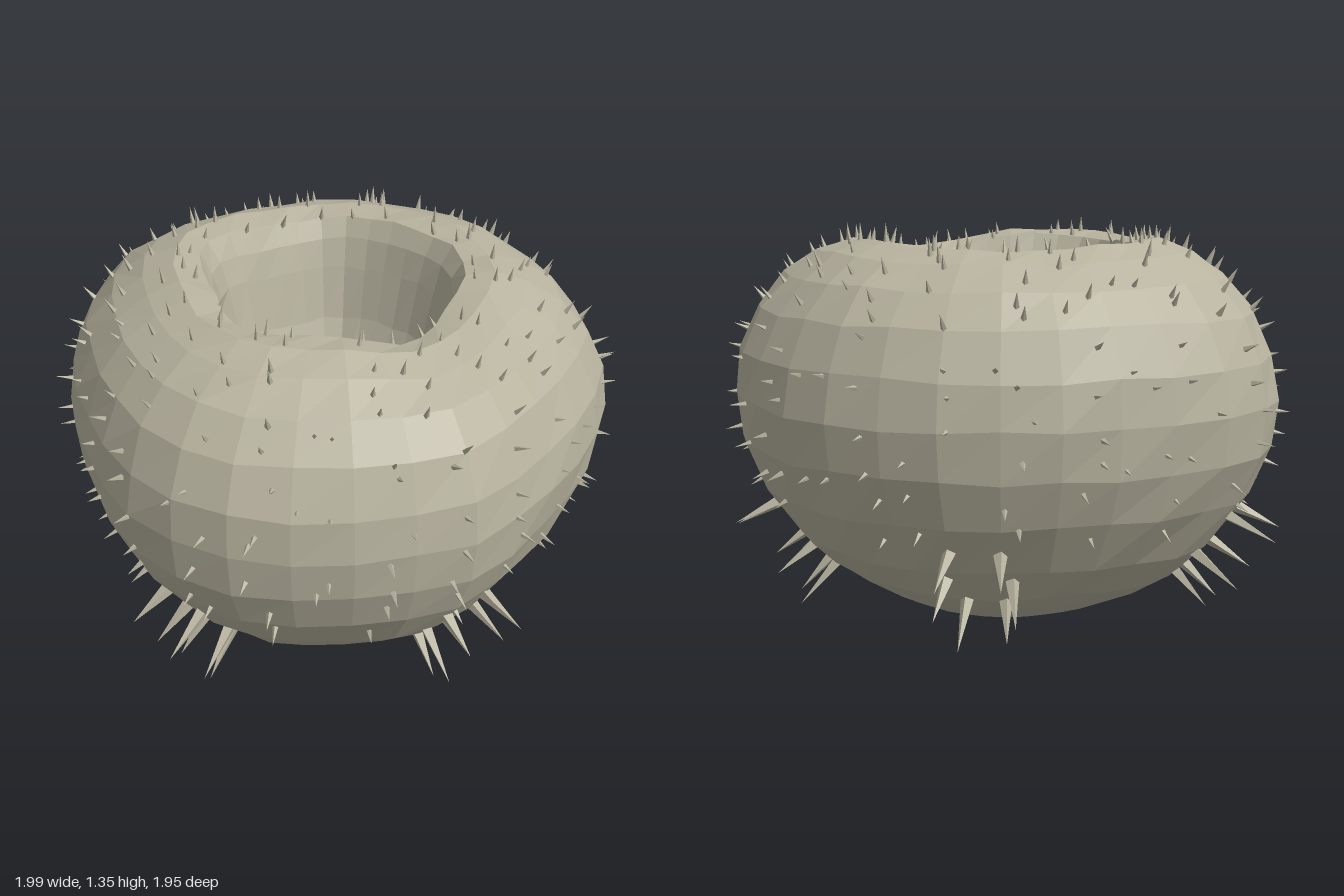
import * as THREE from 'three';
import { mergeGeometries } from 'three/addons/utils/BufferGeometryUtils.js';

const COLUMNS = 30;
const RAD = Math.PI / 180;

// shell cross-section from base centre, up the outside, over the lip and into the hollow: [radius, height]
const PROFILE = [
  [0, 0], [0.36, 0], [0.51, 0.07], [0.66, 0.15], [0.79, 0.27], [0.91, 0.44], [0.98, 0.6], [1, 0.76],
  [0.98, 0.91], [0.91, 1.06], [0.81, 1.17], [0.69, 1.245], [0.57, 1.285], [0.47, 1.27], [0.43, 1.2],
  [0.4, 1.1], [0.355, 0.91], [0.27, 0.7], [0.15, 0.59], [0, 0.56],
];
const LAST = PROFILE.length - 1;

// outline radius every 15 degrees, from +x towards +z
const OUTLINE = [0.97, 0.935, 0.9, 0.915, 0.955, 0.935, 0.94, 0.96, 0.955, 0.935, 0.9, 0.895,
  0.93, 0.97, 0.99, 0.92, 0.91, 0.91, 0.92, 0.92, 0.935, 0.935, 0.945, 0.96];

function random(seed) {
  let s = seed;
  return () => {
    s = (s * 16807) % 2147483647;
    return s / 2147483647;
  };
}

function outline(deg) {
  const f = (((deg % 360) + 360) % 360) / 15;
  const i = Math.floor(f);
  return THREE.MathUtils.lerp(OUTLINE[i % 24], OUTLINE[(i + 1) % 24], f - i);
}

// point of the shell at an angle and a (fractional) profile index
function shellPoint(deg, row) {
  const i = Math.min(Math.floor(row), LAST - 1);
  let r = THREE.MathUtils.lerp(PROFILE[i][0], PROFILE[i + 1][0], row - i) * outline(deg);
  let y = THREE.MathUtils.lerp(PROFILE[i][1], PROFILE[i + 1][1], row - i);
  // slightly pentagonal opening, and a lip that dips on the front left
  if (row > 12) r *= 1 + 0.03 * Math.cos(5 * (deg - 54) * RAD);
  const lip = THREE.MathUtils.smoothstep(row, 9, 12) * THREE.MathUtils.smoothstep(LAST - row, 0, 4);
  const dip = Math.max(0, Math.cos((deg - 48) * RAD)) ** 6;
  y += lip * (0.01 * Math.cos(3 * (deg - 200) * RAD) - 0.06 * dip);
  return new THREE.Vector3(r * Math.cos(deg * RAD), y, r * Math.sin(deg * RAD));
}

function shellNormal(deg, row) {
  const up = shellPoint(deg, row + 0.5).sub(shellPoint(deg, row - 0.5));
  const round = shellPoint(deg + 5, row).sub(shellPoint(deg - 5, row));
  return up.cross(round).normalize();
}

// faceted shell built from rings
function shellGeometry() {
  const rnd = random(71);
  const positions = [];
  const index = [];
  for (let row = 0; row <= LAST; row++) {
    for (let c = 0; c < COLUMNS; c++) {
      const v = shellPoint((c * 360) / COLUMNS, row);
      const bump = 1 + (rnd() - 0.5) * 0.016;
      const shift = row > 1 && row < LAST ? (rnd() - 0.5) * 0.016 : 0;
      positions.push(v.x * bump, v.y + shift, v.z * bump);
    }
  }
  for (let row = 0; row < LAST; row++) {
    for (let c = 0; c < COLUMNS; c++) {
      const a = row * COLUMNS + c;
      const d = row * COLUMNS + ((c + 1) % COLUMNS);
      const b = a + COLUMNS;
      const e = d + COLUMNS;
      if (row > 0) index.push(a, b, d);
      if (row < LAST - 1) index.push(b, e, d);
    }
  }
  const g = new THREE.BufferGeometry();
  g.setAttribute('position', new THREE.Float32BufferAttribute(positions, 3));
  g.setIndex(index);
  const flat = g.toNonIndexed();
  flat.computeVertexNormals();
  return flat;
}

// thorn standing on the shell, root slightly sunk in
function spine(deg, row, length, radius, lift = 0) {
  const g = new THREE.ConeGeometry(radius, length, 4, 1, true).toNonIndexed();
  g.computeVertexNormals();
  g.translate(0, length / 2 - 0.012, 0);
  const dir = shellNormal(deg, row);
  dir.y += lift;
  const q = new THREE.Quaternion().setFromUnitVectors(new THREE.Vector3(0, 1, 0), dir.normalize());
  const at = shellPoint(deg, row);
  return g.applyQuaternion(q).translate(at.x, at.y, at.z);
}

export function createModel() {
  const model = new THREE.Group();
  const shellColour = new THREE.MeshStandardMaterial({ color: 0xb8b39f });

  const shell = new THREE.Mesh(shellGeometry(), shellColour);
  shell.name = 'shell';
  model.add(shell);

  const rnd = random(1234);
  const small = [];
  const large = [];
  for (let k = 0; k < 5; k++) {
    const centre = 54 + 72 * k;
    for (const side of [-1, 1]) {
      // short spines in rows up each lobe
      for (let row = 4.9; row < 12.9; row += 0.72) {
        for (const offset of [9, 23]) {
          const deg = centre + side * (offset + (rnd() - 0.5) * 10);
          small.push(spine(deg, row + (rnd() - 0.5) * 0.6, 0.05 + rnd() * 0.025, 0.011, row > 9 ? 0.4 : 0));
        }
      }
      // sparse spines between the lobes
      for (let row = 5.6; row < 11; row += 2) {
        small.push(spine(centre + side * (31 + rnd() * 4), row + rnd(), 0.05, 0.01));
      }
      // long spines low on each lobe
      for (let n = 0; n < 3; n++) {
        const deg = centre + side * (4 + (n % 2) * 3 + rnd() * 3);
        large.push(spine(deg, 2.9 + n * 0.75 + rnd() * 0.3, 0.16 + rnd() * 0.05, 0.024, 0.15));
      }
    }
  }
  const shortSpines = new THREE.Mesh(mergeGeometries(small), shellColour);
  shortSpines.name = 'shortSpines';
  const longSpines = new THREE.Mesh(mergeGeometries(large), shellColour);
  longSpines.name = 'longSpines';
  model.add(shortSpines, longSpines);
  return model;
}
